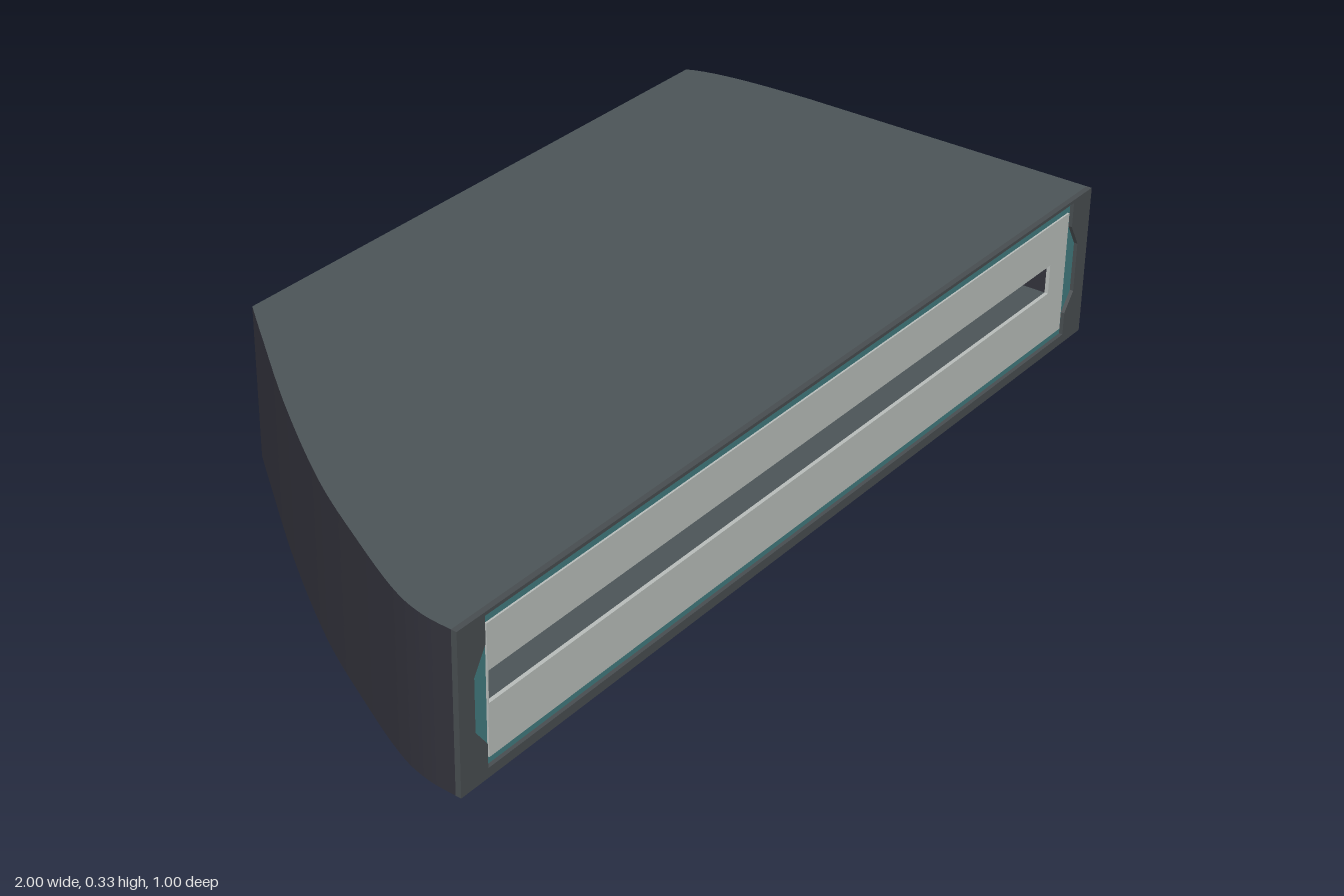
import * as THREE from 'three';
import { toCreasedNormals } from 'three/addons/utils/BufferGeometryUtils.js';

const material = (name, color) => {
  const m = new THREE.MeshStandardMaterial({ color });
  m.name = name;
  return m;
};

const HEIGHT = 0.332;
const FRONT = 0.488; // z of the body's front wall, behind the frame

// Closed path from a list of points
const polygon = (points) => new THREE.Shape(points.map(([x, y]) => new THREE.Vector2(x, y)));
const rect = (x0, x1, y0, y1) => polygon([[x0, y0], [x1, y0], [x1, y1], [x0, y1]]);

// Plan of the casing (shape y is -z); optional front slot and back sockets
function plan(slot, sockets) {
  const s = new THREE.Shape();
  s.moveTo(-1, -FRONT);
  if (slot) {
    s.lineTo(-0.92, -FRONT);
    s.lineTo(-0.92, -0.3);
    s.lineTo(0.86, -0.3);
    s.lineTo(0.86, -FRONT);
  }
  s.lineTo(1, -FRONT);
  s.lineTo(1, 0.2);
  s.quadraticCurveTo(0.995, 0.44, 0.96, 0.5);
  for (const [x0, x1] of sockets) {
    s.lineTo(x1, 0.5);
    s.lineTo(x1, 0.45);
    s.lineTo(x0, 0.45);
    s.lineTo(x0, 0.5);
  }
  s.lineTo(-0.42, 0.5);
  // sweeping curved side
  s.splineThru([[-0.49, 0.41], [-0.65, 0.2], [-0.8, -0.02], [-0.9, -0.2], [-0.97, -0.34], [-0.995, -0.42], [-1, -FRONT]]
    .map(([x, y]) => new THREE.Vector2(x, y)));
  return s;
}

export function createModel() {
  const top = material('slate', 0x4b5457);
  const side = material('dark wall', 0x32323b);
  const under = material('underside', 0x2b2b2d);
  const rim = material('frame grey', 0x474c4f);
  const pale = material('pale grey', 0xb6bbb8);
  const mid = material('slot grey', 0x737877);
  const teal = material('teal', 0x40797c);
  const black = material('black', 0x17171b);

  const model = new THREE.Group();
  model.name = 'wedgeCasing';

  const add = (name, geometry, mat, x = 0, y = 0, z = 0) => {
    const mesh = new THREE.Mesh(geometry, mat);
    mesh.name = name;
    mesh.position.set(x, y, z);
    model.add(mesh);
    return mesh;
  };
  const panel = (name, shape, depth, mat, z) =>
    add(name, new THREE.ExtrudeGeometry(shape, { depth, bevelEnabled: false }), mat, 0, 0, z);
  const box = (name, w, h, d, mat, x, y, z) => add(name, new THREE.BoxGeometry(w, h, d), mat, x, y, z);

  // Casing stacked in layers, so slot and sockets are real recesses
  const small = [0.84, 0.94], wide = [0.34, 0.51];
  const layers = [
    ['base', 0, 0.03, false, []],
    ['lowerSockets', 0.03, 0.1, false, [small]],
    ['lowerBody', 0.1, 0.145, false, []],
    ['slotBody', 0.145, 0.21, true, []],
    ['upperBody', 0.21, 0.24, false, []],
    ['upperSockets', 0.24, 0.31, false, [small, wide]],
    ['lid', 0.31, HEIGHT, false, []],
  ];
  for (const [name, y0, y1, slot, sockets] of layers) {
    const g = new THREE.ExtrudeGeometry(plan(slot, sockets), { depth: y1 - y0, bevelEnabled: false, curveSegments: 8 });
    g.rotateX(-Math.PI / 2);
    add(name, toCreasedNormals(g, 0.5), [y0 === 0 ? under : top, side], 0, y0, 0);
  }

  // Front frame with chamfered opening
  const frame = rect(-1, 1, 0, HEIGHT);
  frame.holes.push(polygon([[-0.93, 0.02], [0.93, 0.02], [0.93, 0.07], [0.96, 0.11], [0.96, 0.22], [0.93, 0.27],
    [0.93, 0.325], [-0.93, 0.325], [-0.93, 0.27], [-0.96, 0.22], [-0.96, 0.11], [-0.93, 0.07]]));
  panel('frontFrame', frame, 0.012, rim, FRONT);

  // Teal surround and pale face plate around the slot
  const surround = rect(-0.965, 0.965, 0.015, 0.328);
  surround.holes.push(rect(-0.92, 0.92, 0.038, 0.302));
  panel('tealSurround', surround, 0.004, teal, FRONT);
  const face = rect(-0.922, 0.922, 0.036, 0.304);
  face.holes.push(rect(-0.92, 0.86, 0.145, 0.21));
  panel('facePlate', face, 0.008, pale, FRONT);

  // Back of the slot: shaded end, pale run and a small teal mark
  box('slotBackEnd', 0.58, 0.065, 0.006, mid, -0.63, 0.1775, 0.303);
  box('slotBack', 1.2, 0.065, 0.006, pale, 0.26, 0.1775, 0.303);
  box('slotMark', 0.07, 0.028, 0.004, teal, -0.04, 0.187, 0.308);

  // Thin vents on the back and marks on the flat side
  for (const y of [0.05, 0.085]) box('backVent', 0.17, 0.014, 0.004, black, 0.425, y, -0.5);
  box('sideMarkUpper', 0.004, 0.008, 0.07, black, 0.999, 0.317, 0.305);
  box('sideMarkLower', 0.004, 0.01, 0.055, black, 0.999, 0.047, 0.335);

  return model;
}
